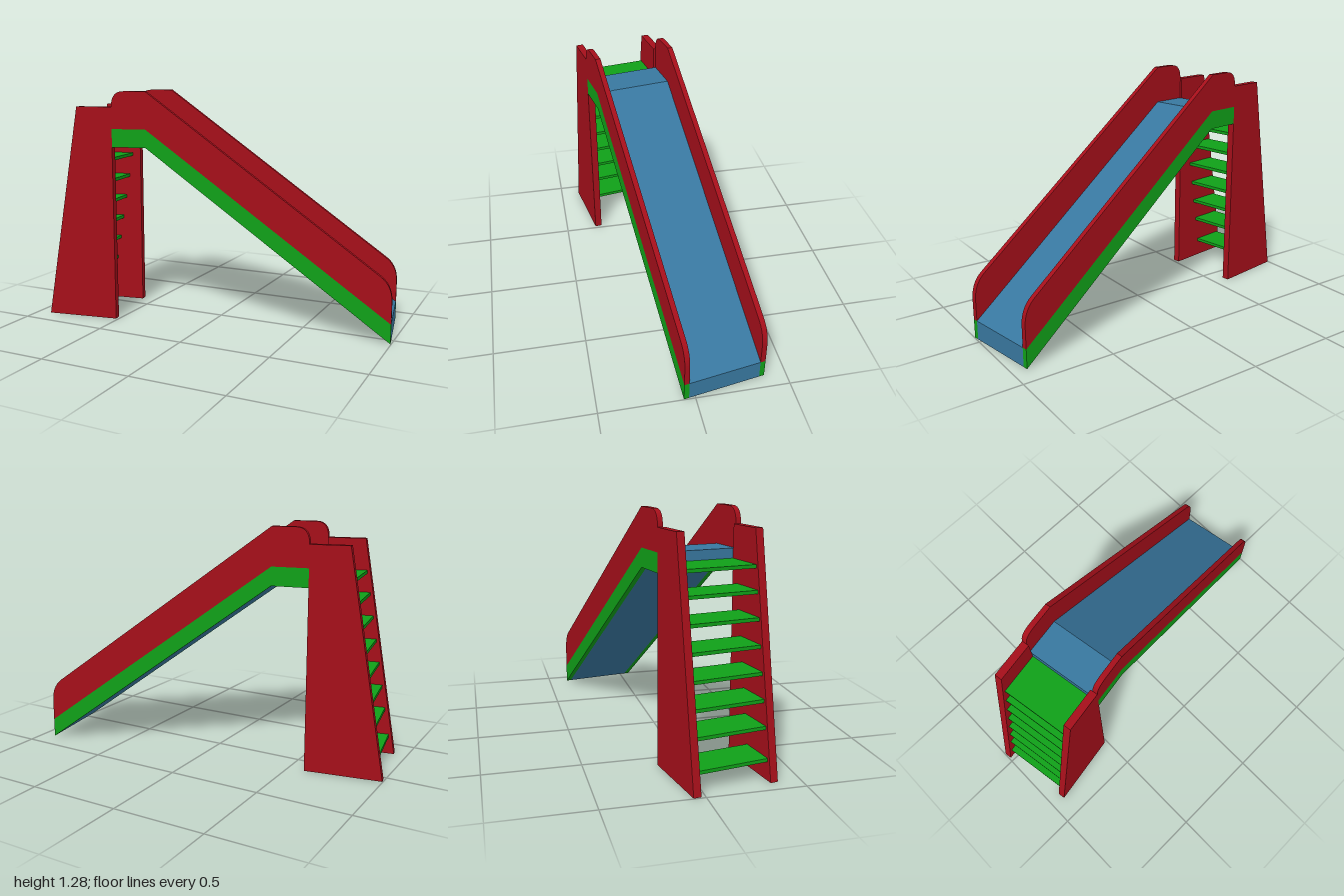
import * as THREE from 'three';

const RED = new THREE.MeshStandardMaterial({ color: 0xa50f1a });
const GREEN = new THREE.MeshStandardMaterial({ color: 0x10a018 });
const BLUE = new THREE.MeshStandardMaterial({ color: 0x38779f });

const HALF = 0.2255;    // half of the overall width
const RAIL = 0.028;     // slide side thickness
const PANEL = 0.04;     // ladder side thickness
const END = 0.973;      // foot of the slide; the ladder foot is at -END
const JOIN = -0.56;     // where ladder and slide meet
const KINK = -0.363;    // where the slide starts to drop

// Side profile extruded across the width from z0 to z0 + depth
function slab(name, shape, z0, depth, material) {
  const geometry = new THREE.ExtrudeGeometry(shape, { depth, bevelEnabled: false, curveSegments: 10 });
  geometry.translate(0, 0, z0);
  const mesh = new THREE.Mesh(geometry, material);
  mesh.name = name;
  return mesh;
}

function polygon(points) {
  return new THREE.Shape(points.map(([x, y]) => new THREE.Vector2(x, y)));
}

export function createModel() {
  const model = new THREE.Group();
  model.name = 'playgroundSlide';

  // Side profiles
  const chuteShape = polygon([
    [JOIN, 0.98], [KINK, 0.98], [END, 0], [END, 0.105], [KINK, 1.08], [JOIN, 1.08],
  ]);
  const panelShape = polygon([[-END, 0], [JOIN, 0], [JOIN, 1.2], [-0.768, 1.2]]);
  const railShape = new THREE.Shape();
  railShape.moveTo(JOIN, 1.08);
  railShape.lineTo(KINK, 1.08);
  railShape.lineTo(END, 0.105);
  railShape.lineTo(END, 0.22);
  railShape.quadraticCurveTo(END, 0.31, 0.91, 0.356);
  railShape.lineTo(KINK, 1.285);
  railShape.lineTo(-0.485, 1.285);
  railShape.quadraticCurveTo(JOIN, 1.285, JOIN, 1.2);
  railShape.closePath();

  // Chute between the rails
  model.add(slab('chute', chuteShape, -HALF + RAIL, 2 * (HALF - RAIL), BLUE));

  // Rails, trim bands and ladder panels on both sides
  for (const [side, s] of [['left', 1], ['right', -1]]) {
    const start = (t) => (s > 0 ? HALF - t : -HALF);
    model.add(
      slab(side + 'Rail', railShape, start(RAIL), RAIL, RED),
      slab(side + 'TrimBand', chuteShape, start(RAIL), RAIL, GREEN),
      slab(side + 'LadderPanel', panelShape, start(PANEL), PANEL, RED),
    );
  }

  // Steps follow the slanted back edge; the top one reaches the chute
  const heights = [0.104, 0.258, 0.386, 0.515, 0.643, 0.772, 0.9, 1.02];
  heights.forEach((y, i) => {
    const back = -END + 0.205 * (y / 1.2) + 0.016;
    const front = i === heights.length - 1 ? JOIN : back + 0.195;
    const step = new THREE.Mesh(
      new THREE.BoxGeometry(front - back, 0.018, 2 * (HALF - PANEL)), GREEN);
    step.position.set((front + back) / 2, y, 0);
    step.name = 'step' + (i + 1);
    model.add(step);
  });

  // The whole slide stands slightly turned
  model.rotation.y = 0.1676;
  return model;
}
